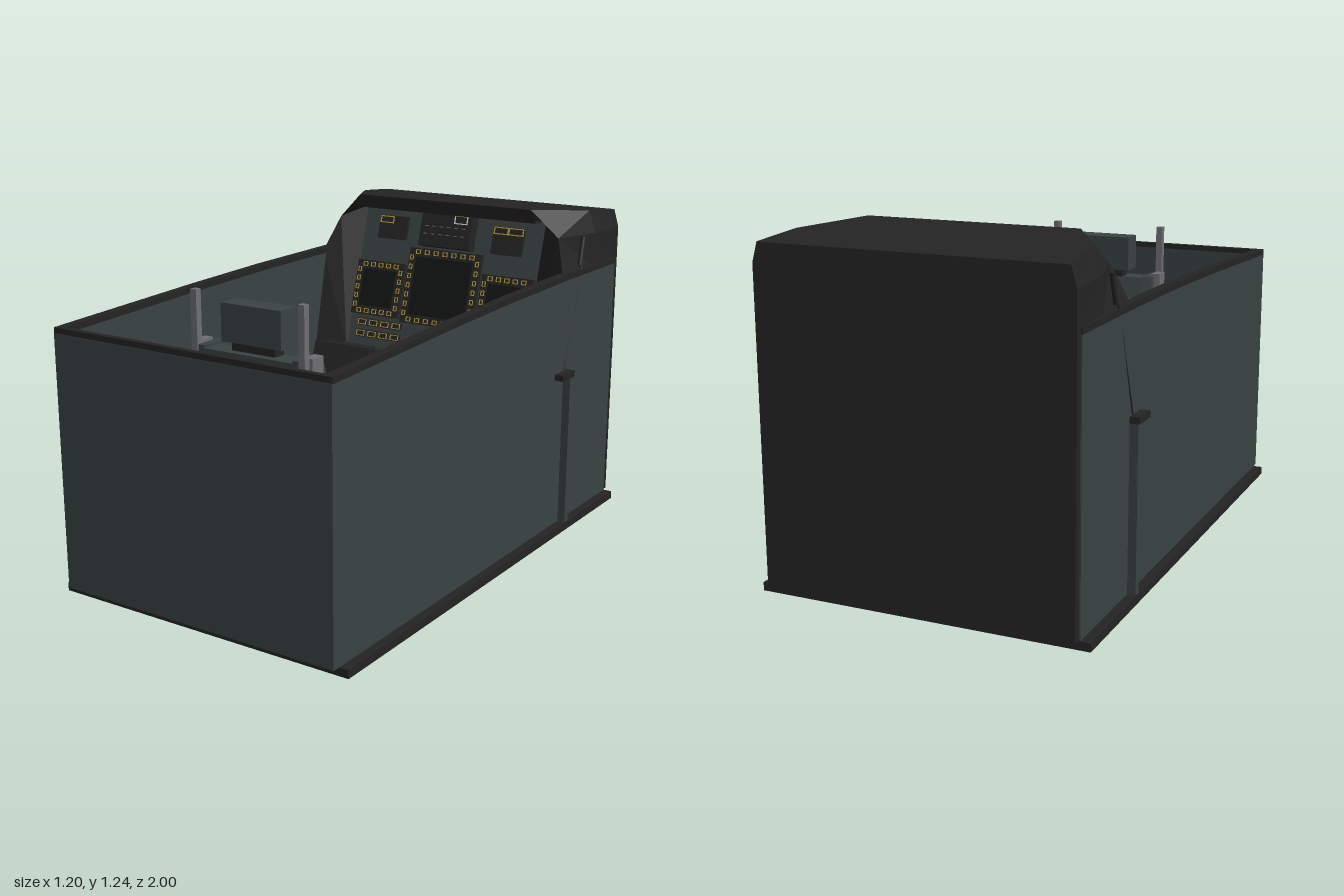
import * as THREE from 'three';

const mat = (name, color, side = THREE.FrontSide) => {
  const m = new THREE.MeshStandardMaterial({ color, side });
  m.name = name;
  return m;
};

export function createModel() {
  const root = new THREE.Group();
  root.name = 'cockpitTub';
  const green = mat('grey green', 0x3a4343, THREE.DoubleSide);
  const dark = mat('charcoal', 0x242424, THREE.DoubleSide);
  const black = mat('black', 0x131414);
  const grey = mat('metal grey', 0x707074);
  const gold = mat('gold', 0xb89b35);
  const cream = mat('cream', 0xd5d5cc);

  const add = (name, geo, m, parent = root) => {
    const mesh = new THREE.Mesh(geo, m);
    mesh.name = name;
    parent.add(mesh);
    return mesh;
  };
  // box from its limits
  const box = (name, m, x0, x1, y0, y1, z0, z1, parent = root) => {
    const b = add(name, new THREE.BoxGeometry(x1 - x0, y1 - y0, z1 - z0), m, parent);
    b.position.set((x0 + x1) / 2, (y0 + y1) / 2, (z0 + z1) / 2);
    return b;
  };
  // plate with a [z, y] outline, spanning x0..x1
  const sidePlate = (name, m, pts, x0, x1) => {
    const s = new THREE.Shape(pts.map(([z, y]) => new THREE.Vector2(-z, y)));
    const g = new THREE.ExtrudeGeometry(s, { depth: x1 - x0, bevelEnabled: false });
    g.rotateY(Math.PI / 2).translate(x0, 0, 0);
    return add(name, g, m);
  };
  // flat convex face from corners
  const face = (name, m, pts) => {
    const v = [];
    for (let i = 1; i < pts.length - 1; i++) v.push(...pts[0], ...pts[i], ...pts[i + 1]);
    const g = new THREE.BufferGeometry();
    g.setAttribute('position', new THREE.Float32BufferAttribute(v, 3));
    g.computeVertexNormals();
    return add(name, g, m);
  };
  // rod between two points
  const rod = (name, m, a, b, r) => {
    const A = new THREE.Vector3(...a), B = new THREE.Vector3(...b);
    const c = add(name, new THREE.CylinderGeometry(r, r, A.distanceTo(B), 8), m);
    c.position.copy(A).lerp(B, 0.5);
    c.quaternion.setFromUnitVectors(new THREE.Vector3(0, 1, 0), B.sub(A).normalize());
    return c;
  };

  // base, floor and end walls
  box('base', dark, -0.6, 0.6, 0, 0.03, -0.97, 0.97);
  box('floor', dark, -0.54, 0.54, 0.03, 0.06, -0.97, 0.97);
  box('rearBulkhead', green, -0.565, 0.565, 0.03, 0.945, 0.975, 1);
  box('rearBulkheadRail', dark, -0.565, 0.565, 0.945, 0.965, 0.975, 0.998);
  const nose = new THREE.Shape([[-0.56, 0.03], [0.56, 0.03], [0.56, 1.135], [0.54, 1.203], [-0.54, 1.203], [-0.56, 1.135]]
    .map(p => new THREE.Vector2(...p)));
  add('nosePanel', new THREE.ExtrudeGeometry(nose, { depth: 0.03, bevelEnabled: false }).translate(0, 0, -1), dark);

  const top = [[0.998, 0.965], [0.3, 0.995], [-0.1, 1.008], [-0.55, 1.015], [-0.97, 1.015]];
  for (const s of [-1, 1]) {
    const span = (a, b) => (s > 0 ? [a, b] : [-b, -a]);
    // side walls with top rails
    sidePlate('sideWall', green, [[0.998, 0.03], ...top.map(([z, y]) => [z, y - 0.022]), [-0.97, 0.03]], ...span(0.54, 0.565));
    sidePlate('sideRail', dark, [...top, ...top.map(([z, y]) => [z, y - 0.022]).reverse()], ...span(0.53, 0.566));
    // outer post, cap and lanyard
    box('outerPost', green, ...span(0.565, 0.595), 0.03, 0.62, -0.565, -0.537);
    box('outerPostCap', dark, ...span(0.565, 0.6), 0.62, 0.643, -0.565, -0.465);
    rod('lanyard', dark, [s * 0.566, 0.64, -0.54], [s * 0.56, 1.03, -0.67], 0.004);
    rod('hoodHandle', dark, [s * 0.553, 1.03, -0.67], [s * 0.55, 1.135, -0.7], 0.009);

    // hood side faces
    const a = [s * 0.39, 1.242, -0.565], b = [s * 0.524, 1.222, -0.8], c = [s * 0.54, 1.204, -1];
    const d = [s * 0.5, 1.14, -0.585], e = [s * 0.553, 1.137, -0.8], f = [s * 0.56, 1.135, -1];
    const g = [s * 0.552, 1.0, -0.53], h = [s * 0.558, 1.0, -0.8], i = [s * 0.56, 1.0, -1];
    [[a, d, b], [d, e, b], [b, e, f, c], [d, g, h], [d, h, e], [e, h, i, f]].forEach(p => face('hoodSide', dark, p));
    // fairing between hood and instrument panel
    const p1 = [s * 0.41, 1.185, -0.66], p2 = [s * 0.41, 0.6, -0.49], p3 = [s * 0.54, 0.6, -0.45];
    [[a, p1, d], [p1, p2, d], [d, p2, g], [g, p2, p3]].forEach(p => face('panelFairing', dark, p));

    // side console with its sloping front
    box('sideConsole', dark, ...span(0.27, 0.54), 0.06, 0.45, -0.39, 0.7);
    sidePlate('consoleShroud', dark, [[-0.39, 0.06], [-0.39, 0.45], [-0.45, 0.63], [-0.5, 0.63], [-0.5, 0.06]], ...span(0.27, 0.54));
    for (let r = 0; r < 14; r++) {
      const z = -0.34 + r * 0.076;
      if (s < 0 && z > -0.3 && z < 0.13) continue;
      for (let k = 0; k < 4; k++) {
        if ((r * 3 + k * 5) % 7 === 0) continue;
        const x = s * (0.33 + k * 0.055), w = (r + k) % 3 ? 0.006 : 0.011;
        box('consoleSwitch', grey, x - w, x + w, 0.45, 0.468, z - w, z + w);
      }
    }
    for (let r = 0; r < 4; r++)
      box('consoleSeam', black, ...span(0.285, 0.525), 0.45, 0.453, -0.15 + r * 0.22, -0.145 + r * 0.22);
    box('releaseTab', gold, ...span(0.235, 0.27), 0.45, 0.46, -0.3, -0.28);

    // seat sides and ejection rails
    sidePlate('seatWing', green, [[0.1, 0.1], [0.1, 0.4], [0.42, 0.42], [0.57, 0.89], [0.68, 0.89], [0.68, 0.1]], ...span(0.185, 0.225));
    box('seatRail', grey, ...span(0.212, 0.237), 0.3, 1.08, 0.66, 0.685);
    box('seatRailFoot', grey, ...span(0.215, 0.25), 0.82, 0.9, 0.6, 0.66);
  }

  // hood top and front lip
  face('hoodTop', dark, [[0.39, 1.242, -0.565], [0.524, 1.222, -0.8], [0.54, 1.204, -1],
    [-0.54, 1.204, -1], [-0.524, 1.222, -0.8], [-0.39, 1.242, -0.565]]);
  face('hoodLip', dark, [[-0.39, 1.242, -0.565], [-0.41, 1.19, -0.57], [0.41, 1.19, -0.57], [0.39, 1.242, -0.565]]);
  face('hoodUnderside', dark, [[-0.41, 1.19, -0.57], [-0.41, 1.185, -0.66], [0.41, 1.185, -0.66], [0.41, 1.19, -0.57]]);

  // sloping instrument panel; heights inside are measured as world y
  const panel = new THREE.Group();
  panel.name = 'instrumentPanel';
  panel.position.set(0, 0.6, -0.49);
  panel.rotation.x = -0.283;
  root.add(panel);
  const onPanel = (name, m, x0, x1, y0, y1, z0, z1) =>
    box(name, m, x0, x1, (y0 - 0.6) / 0.96, (y1 - 0.6) / 0.96, z0, z1, panel);
  // thin rectangular outline
  const frame = (m, x0, x1, y0, y1, z, t = 0.003) => {
    onPanel('windowFrame', m, x0, x1, y0, y0 + t, z, z + 0.003);
    onPanel('windowFrame', m, x0, x1, y1 - t, y1, z, z + 0.003);
    onPanel('windowFrame', m, x0, x0 + t, y0, y1, z, z + 0.003);
    onPanel('windowFrame', m, x1 - t, x1, y0, y1, z, z + 0.003);
  };
  onPanel('panelBoard', green, -0.41, 0.41, 0.6, 1.185, -0.02, 0);
  const display = (x0, x1, y0, y1, n) => {
    onPanel('displayBezel', dark, x0, x1, y0, y1, 0, 0.02);
    onPanel('displayScreen', black, x0 + 0.035, x1 - 0.035, y0 + 0.035, y1 - 0.035, 0.02, 0.023);
    for (let i = 0; i < n; i++) {
      const t = (i + 0.5) / n;
      const x = x0 + 0.02 + t * (x1 - x0 - 0.04), y = y0 + 0.02 + t * (y1 - y0 - 0.04);
      for (const yy of [y0 + 0.015, y1 - 0.015]) frame(gold, x - 0.011, x + 0.011, yy - 0.009, yy + 0.009, 0.02);
      for (const xx of [x0 + 0.014, x1 - 0.014]) frame(gold, xx - 0.008, xx + 0.008, y - 0.01, y + 0.01, 0.02);
    }
  };
  display(-0.165, 0.165, 0.74, 1.035, 7);
  display(-0.405, -0.18, 0.75, 0.965, 5);
  display(0.18, 0.405, 0.75, 0.965, 5);
  for (let r = 0; r < 2; r++)
    for (let k = 0; k < 4; k++) {
      const x = -0.37 + k * 0.055, y = 0.66 + r * 0.045;
      for (const xx of [x, -x - 0.04]) {
        onPanel('keyPlate', dark, xx, xx + 0.045, y, y + 0.03, 0, 0.01);
        frame(gold, xx + 0.003, xx + 0.042, y + 0.004, y + 0.026, 0.01);
      }
    }
  const dial = add('roundDial', new THREE.CylinderGeometry(0.045, 0.045, 0.03, 24).rotateX(Math.PI / 2), black, panel);
  dial.position.set(0, 0.085, 0.015);

  // upper panel plates
  onPanel('leftPlate', dark, -0.335, -0.2, 1.06, 1.15, 0, 0.012);
  onPanel('rightPlate', dark, 0.195, 0.33, 1.045, 1.15, 0, 0.012);
  frame(gold, -0.332, -0.268, 1.12, 1.148, 0.012, 0.004);
  frame(gold, 0.198, 0.262, 1.12, 1.148, 0.012, 0.004);
  frame(gold, 0.262, 0.328, 1.12, 1.148, 0.012, 0.004);
  onPanel('centrePlate', dark, -0.115, 0.115, 1.045, 1.215, 0, 0.05);
  frame(cream, 0.036, 0.096, 1.138, 1.2, 0.05, 0.004);
  onPanel('windowBar', gold, 0.038, 0.094, 1.167, 1.172, 0.05, 0.054);
  for (let r = 0; r < 2; r++)
    for (let k = 0; k < 6; k++)
      onPanel('plateKey', grey, -0.095 + k * 0.034, -0.08 + k * 0.034, 1.09 + r * 0.03, 1.093 + r * 0.03, 0.05, 0.054);

  // centre pedestal, stick and throttle
  sidePlate('pedestal', dark, [[-0.5, 0.06], [-0.5, 0.62], [-0.46, 0.62], [-0.34, 0.36], [0.1, 0.3], [0.1, 0.06]], -0.27, 0.27);
  box('stickBase', black, -0.085, 0.085, 0.32, 0.345, -0.225, -0.05);
  const boot = add('stickBoot', new THREE.CylinderGeometry(0.03, 0.08, 0.1, 20), black);
  boot.position.set(0, 0.395, -0.14);
  rod('stickShaft', black, [0, 0.4, -0.14], [0, 0.6, -0.16], 0.016);
  rod('stickGrip', black, [0, 0.57, -0.155], [0, 0.7, -0.18], 0.026);
  box('stickButton', grey, -0.008, 0.008, 0.69, 0.712, -0.195, -0.18);
  box('throttleBed', black, -0.455, -0.3, 0.45, 0.458, -0.25, 0.1);
  for (let k = 0; k < 4; k++)
    box('throttleTrack', grey, -0.435 + k * 0.037, -0.427 + k * 0.037, 0.458, 0.466, -0.235, 0.03);
  box('throttleArm', black, -0.4, -0.35, 0.458, 0.55, 0.04, 0.08);
  const grip = add('throttleGrip', new THREE.CapsuleGeometry(0.033, 0.085, 6, 14).rotateZ(Math.PI / 2), black);
  grip.position.set(-0.37, 0.56, 0.06);

  // seat
  box('seatPan', green, -0.225, 0.225, 0.1, 0.36, 0.1, 0.5);
  box('seatCushion', green, -0.18, 0.18, 0.36, 0.39, 0.13, 0.46);
  sidePlate('seatShell', green, [[0.48, 0.1], [0.48, 0.4], [0.6, 0.88], [0.68, 0.88], [0.68, 0.1]], -0.19, 0.19);
  sidePlate('backCushion', green, [[0.45, 0.38], [0.55, 0.8], [0.59, 0.8], [0.5, 0.38]], -0.18, 0.18);
  box('headrestPost', dark, -0.09, 0.09, 0.87, 0.93, 0.6, 0.65);
  box('headrest', green, -0.125, 0.125, 0.91, 1.043, 0.575, 0.663);
  box('pullHandle', gold, -0.053, 0.053, 0.37, 0.4, 0.085, 0.105);

  // deck behind the seat
  box('rearDeck', dark, -0.54, 0.54, 0.06, 0.445, 0.7, 0.975);
  return root;
}
